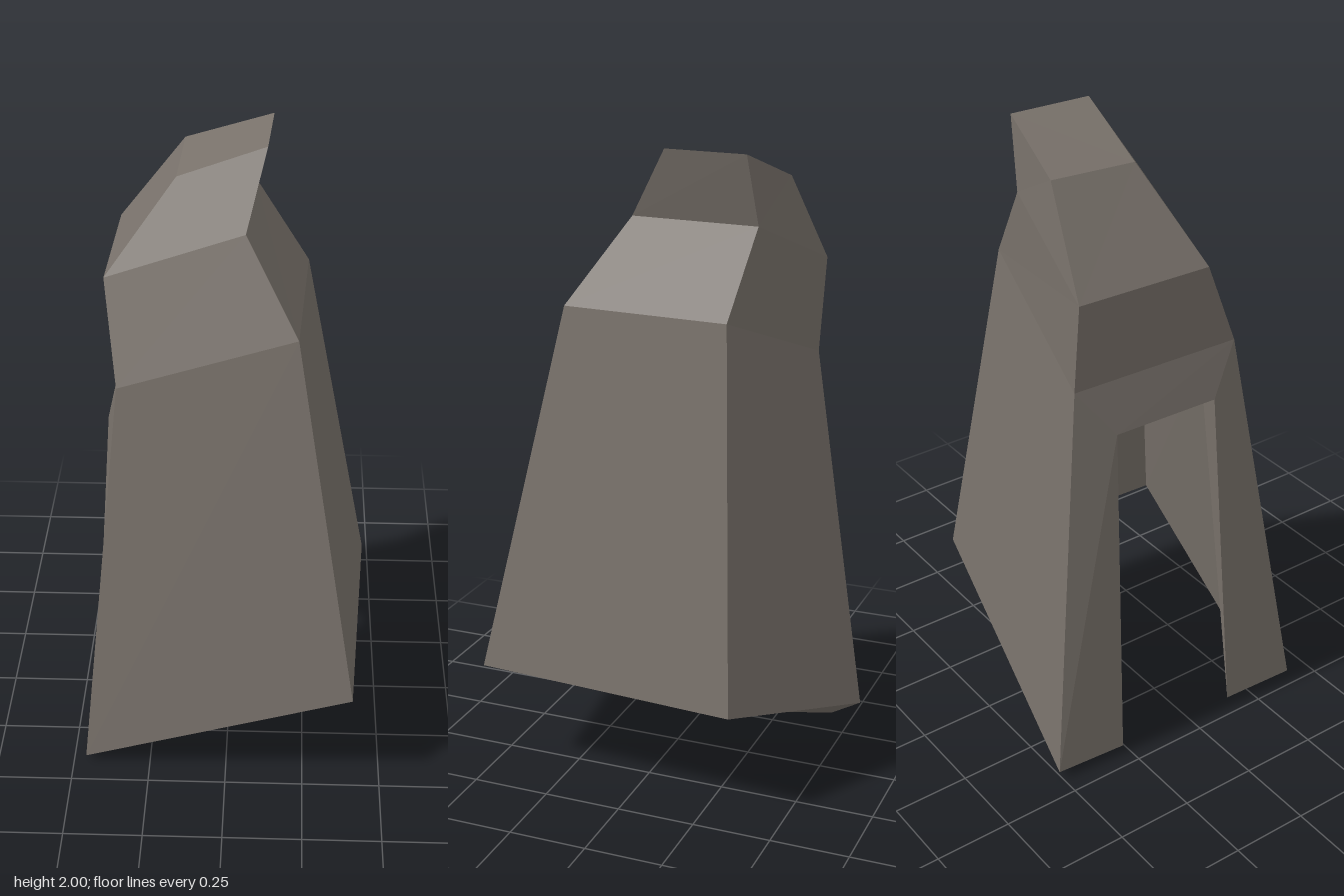
import * as THREE from 'three';

// Build a flat-shaded mesh from quads (corners anticlockwise from outside)
function quadMesh(name, quads, material) {
  const pos = [];
  for (const [a, b, c, d] of quads) pos.push(...a, ...b, ...c, ...a, ...c, ...d);
  const geo = new THREE.BufferGeometry();
  geo.setAttribute('position', new THREE.Float32BufferAttribute(pos, 3));
  geo.computeVertexNormals();
  const mesh = new THREE.Mesh(geo, material);
  mesh.name = name;
  return mesh;
}

// Quads joining consecutive cross-sections, open or closed
function loft(rings, closed) {
  const quads = [];
  for (let r = 0; r + 1 < rings.length; r++) {
    const a = rings[r], b = rings[r + 1], n = a.length;
    for (let i = 0; i < (closed ? n : n - 1); i++) {
      const j = (i + 1) % n;
      quads.push([a[i], a[j], b[j], b[i]]);
    }
  }
  return quads;
}

export function createModel() {
  const group = new THREE.Group();
  group.name = 'hoodedCloak';
  const cloth = new THREE.MeshStandardMaterial({ color: 0x78716a, flatShading: true });
  cloth.name = 'grey brown cloth';

  // Four-cornered sections of the hood, from shoulders to peak
  const shoulder = [[-0.335, 1.31, 0.22], [0.21, 1.52, 0.29], [0.24, 1.52, -0.25], [-0.32, 1.31, -0.36]];
  const neck = [[-0.375, 1.61, 0.08], [0.05, 1.78, 0.13], [0.07, 1.78, -0.285], [-0.36, 1.61, -0.368]];
  const peak = [[-0.16, 1.89, 0.03 - 0.06], [0.11, 2, 0], [0.125, 2, -0.265], [-0.148, 1.9, -0.313]];

  // Open sections of the cloak, running round from one side of the slit to the other
  const outerTop = [[-0.372, 1.15, 0.12], ...shoulder, [-0.365, 1.15, -0.24]];
  const outerHem = [
    [-0.45, 0.02, 0.155], [-0.46, 0.02, 0.41], [0.402, 0.36, 0.51],
    [0.455, 0.355, -0.345], [-0.43, 0.03, -0.51], [-0.437, 0.02, -0.267],
  ];
  const innerHem = [
    [-0.375, 0.02, 0.235], [-0.37, 0, 0.345], [0.36, 0.335, 0.42],
    [0.385, 0.335, -0.26], [-0.355, 0.012, -0.43], [-0.36, 0.02, -0.34],
  ];
  const innerTop = [
    [-0.3, 1.15, 0.13], [-0.27, 1.25, 0.16], [0.15, 1.44, 0.22],
    [0.17, 1.44, -0.18], [-0.26, 1.25, -0.29], [-0.29, 1.15, -0.25],
  ];

  // Cloak: lining, hem and outside
  const cloak = loft([innerTop, innerHem, outerHem, outerTop], false);
  const [o, h, k, n] = [outerTop, outerHem, innerHem, innerTop];
  cloak.push(
    [h[0], o[0], n[0], k[0]], [o[5], h[5], k[5], n[5]], // slit sides
    [o[0], o[5], n[5], n[0]],                           // slit top
    [o[5], o[0], o[1], o[4]],                           // outside above slit
    [n[0], n[5], n[4], n[1]],                           // lining above slit
    [n[4], n[3], n[2], n[1]]                            // lining ceiling
  );
  group.add(quadMesh('cloak', cloak, cloth));

  // Hood with forward-leaning peak
  group.add(quadMesh('hood', [...loft([shoulder, neck, peak], true), peak], cloth));
  return group;
}
